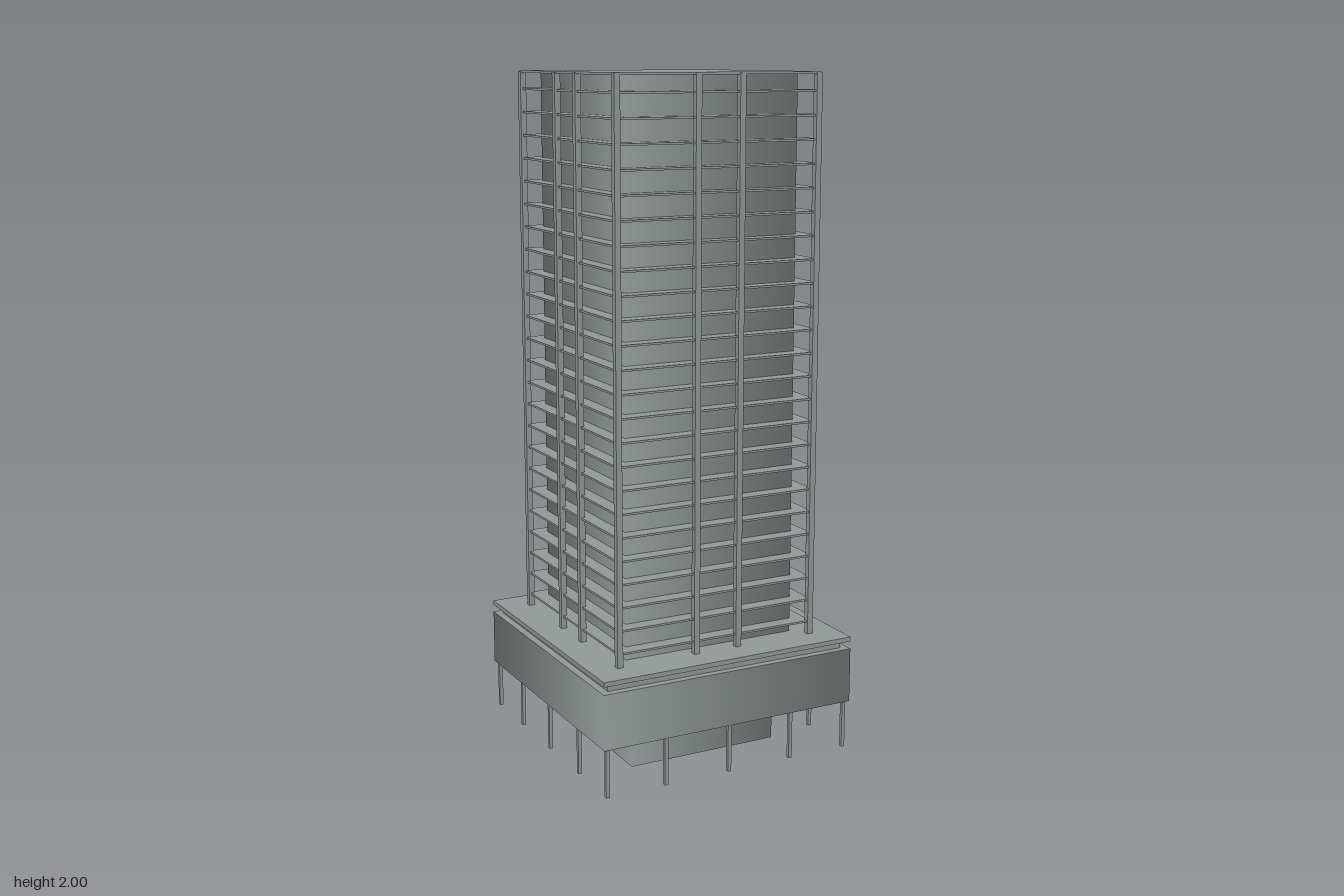
import * as THREE from 'three';

export function createModel() {
  const model = new THREE.Group();
  model.name = 'tower';
  const concrete = new THREE.MeshStandardMaterial({ color: 0x929a98 });
  concrete.name = 'concrete grey';

  const add = (parent, name, geometry, x, y, z) => {
    const mesh = new THREE.Mesh(geometry, concrete);
    mesh.name = name;
    mesh.position.set(x, y, z);
    parent.add(mesh);
    return mesh;
  };
  const group = (name) => {
    const g = new THREE.Group();
    g.name = name;
    model.add(g);
    return g;
  };
  // Sharp-edged square slab between two heights
  const slab = (parent, name, half, y0, y1) =>
    add(parent, name, new THREE.BoxGeometry(2 * half, y1 - y0, 2 * half), 0, (y0 + y1) / 2, 0);
  // Square block whose wall normals blend softly round the corners
  const softBlock = (name, half, y0, y1) => {
    const r = half * Math.SQRT2;
    const g = new THREE.CylinderGeometry(r, r, y1 - y0, 4).rotateY(Math.PI / 4);
    return add(model, name, g, 0, (y0 + y1) / 2, 0);
  };

  // Entrance level with a shallow doorway surround
  softBlock('lobby', 0.238, 0, 0.15);
  add(model, 'entrance', new THREE.BoxGeometry(0.008, 0.093, 0.34), 0.238, 0.0465, 0);

  // Podium, recessed joint and terrace
  softBlock('podium', 0.407, 0.146, 0.311);
  slab(model, 'podiumRecess', 0.385, 0.31, 0.335);
  slab(model, 'terrace', 0.407, 0.334, 0.348);

  // Slender stilts round the podium edge
  const stilts = group('stilts');
  const stiltGeometry = new THREE.BoxGeometry(0.011, 0.15, 0.011);
  const spots = [-0.393, -0.207, 0, 0.207, 0.393];
  for (const x of spots) {
    for (const z of spots) {
      if (Math.max(Math.abs(x), Math.abs(z)) > 0.3) add(stilts, 'stilt', stiltGeometry, x, 0.075, z);
    }
  }

  // Tower core, floors and roof
  softBlock('core', 0.274, 0.347, 1.996);
  const floors = group('floors');
  for (let i = 0; i < 24; i++) {
    const y = 0.385 + i * 0.0679;
    slab(floors, 'floor', 0.318, y - 0.003, y + 0.003);
  }
  slab(model, 'roof', 0.322, 1.993, 2);

  // Full-height columns: one at each corner and two on each face
  const columns = group('columns');
  const columnGeometry = new THREE.BoxGeometry(0.018, 1.65, 0.018);
  for (let side = 0; side < 4; side++) {
    const face = new THREE.Group();
    face.name = 'columnFace';
    face.rotation.y = side * Math.PI / 2;
    columns.add(face);
    for (const x of [-0.316, -0.069, 0.069]) add(face, 'column', columnGeometry, x, 1.172, 0.316);
  }
  return model;
}
